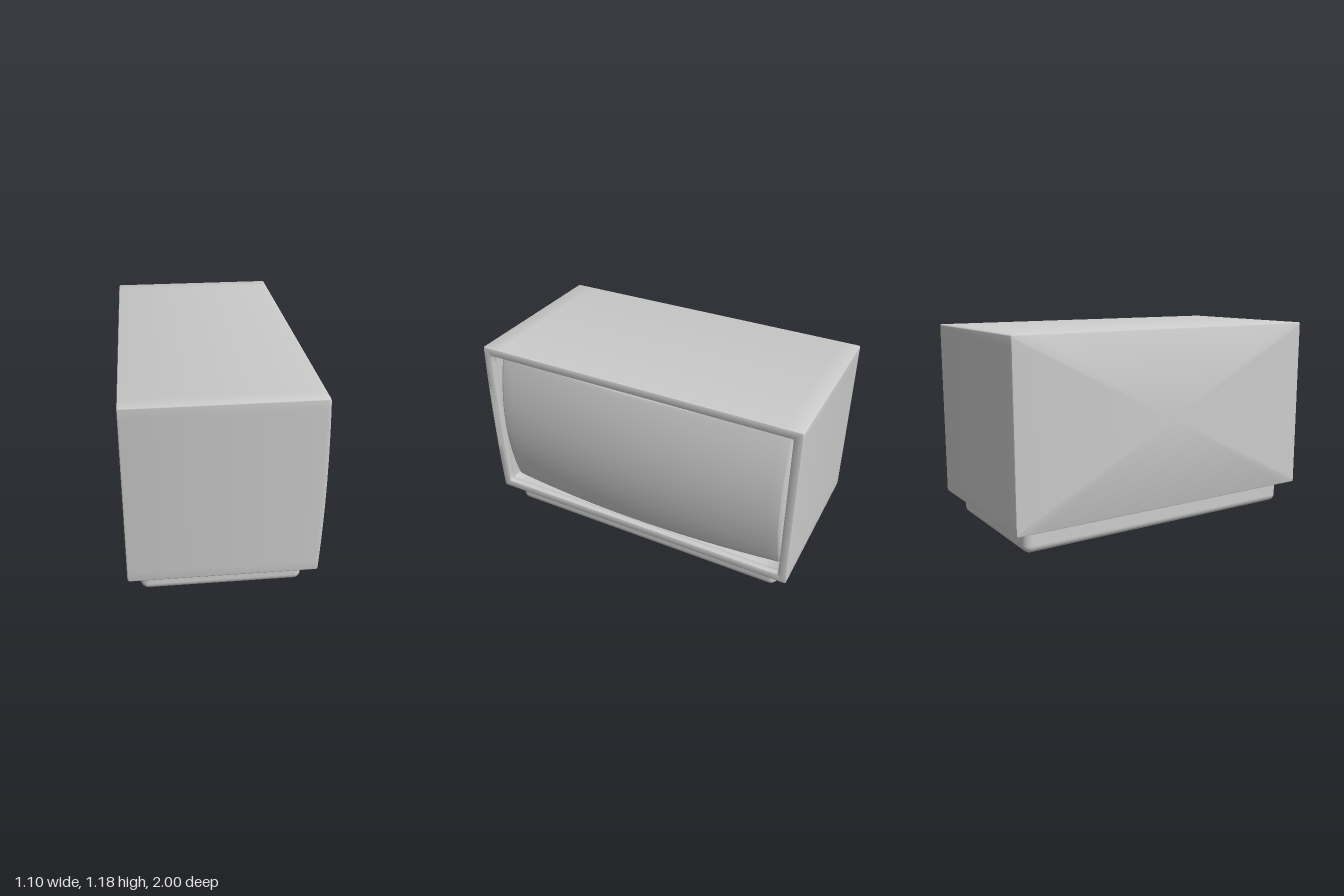
import * as THREE from 'three';
import { toCreasedNormals } from 'three/addons/utils/BufferGeometryUtils.js';
import { RoundedBoxGeometry } from 'three/addons/geometries/RoundedBoxGeometry.js';

const MID_Y = 0.66;

// Rounded rectangle in the z/y plane, as [z, y] pairs
function ring(hz, hy, r, side = 20, arc = 4) {
  const corners = [[-1, 1, 0], [1, 1, 1], [1, -1, 2], [-1, -1, 3]];
  const arcs = corners.map(([sz, sy, q]) => Array.from({ length: arc + 1 }, (_, k) => {
    const t = (q + k / arc) * Math.PI / 2;
    return [sz * (hz - r) - r * Math.cos(t), sy * (hy - r) + r * Math.sin(t)];
  }));
  const pts = [];
  arcs.forEach((points, i) => {
    pts.push(...points);
    const a = points[arc], b = arcs[(i + 1) % 4][0];
    for (let k = 1; k < side; k++) {
      pts.push([a[0] + (b[0] - a[0]) * k / side, a[1] + (b[1] - a[1]) * k / side]);
    }
  });
  return pts;
}

// Skin over a list of rings; xAt gives the x of each point
function loft(sections, crease) {
  const pos = [], index = [];
  let n = 0;
  for (const { hz, hy, r, xAt } of sections) {
    const pts = ring(hz, hy, r);
    n = pts.length;
    for (const [z, y] of pts) pos.push(xAt(z, y), y + MID_Y, z);
  }
  for (let i = 0; i < sections.length - 1; i++) {
    for (let j = 0; j < n; j++) {
      const a = i * n + j, b = i * n + (j + 1) % n;
      index.push(a, b, b + n, a, b + n, a + n);
    }
  }
  const g = new THREE.BufferGeometry();
  g.setAttribute('position', new THREE.Float32BufferAttribute(pos, 3));
  g.setIndex(index);
  return toCreasedNormals(g, crease);
}

export function createModel() {
  const group = new THREE.Group();
  const casing = new THREE.MeshStandardMaterial({ color: 0xcccccc });
  casing.name = 'light grey';
  const add = (name, geometry) => {
    const mesh = new THREE.Mesh(geometry, casing);
    mesh.name = name;
    group.add(mesh);
    return mesh;
  };

  // Casing: back, softened edges, rim and recess; one end of the rim bows out a little
  const profile = [
    [-0.55, 0.01], [-0.547, 0.003], [-0.54, 0], [0.48, 0], [0.49, 0], [0.497, 0.003], [0.5, 0.01],
    [0.5, 0.044], [0.497, 0.05], [0.485, 0.052], [0.47, 0.053], [0.465, 0.059], [0.35, 0.059],
  ];
  const bow = (x, z, y) => x < 0.485 ? x
    : x + 0.013 * Math.max(0, 1 - (y / 0.525) ** 2) * THREE.MathUtils.smoothstep(z, 0.93, 0.99);
  const sections = profile.map(([x, inset]) => ({
    hz: 1 - inset, hy: 0.525 - inset, r: 0.008, xAt: (z, y) => bow(x, z, y),
  }));
  const closed = x => ({ hz: 0, hy: 0, r: 0, xAt: () => x });
  add('casing', loft([closed(-0.55), ...sections, closed(0.35)], 0.6));

  // Bulging screen with a rolled edge
  const dome = (z, y) => 0.55 - 0.356 * y * y - 0.069 * z * z;
  const screen = [{ hz: 0.933, hy: 0.464, r: 0.012, xAt: () => 0.345 }];
  for (let k = 0; k <= 5; k++) {
    const t = k / 5 * Math.PI / 2, inset = 0.018 * (1 - Math.cos(t));
    screen.push({
      hz: 0.933 - inset, hy: 0.464 - inset, r: 0.012,
      xAt: (z, y) => dome(z, y) - 0.018 * (1 - Math.sin(t)),
    });
  }
  for (let k = 15; k >= 0; k--) {
    const s = k / 16;
    screen.push({ hz: 0.915 * s, hy: 0.446 * s, r: 0.012 * s, xAt: dome });
  }
  add('screen', loft(screen, 0.9));

  // Plinth with rounded lower edges
  add('base', new RoundedBoxGeometry(0.91, 0.182, 1.84, 6, 0.045)).position.set(-0.025, 0.091, 0);

  return group;
}
